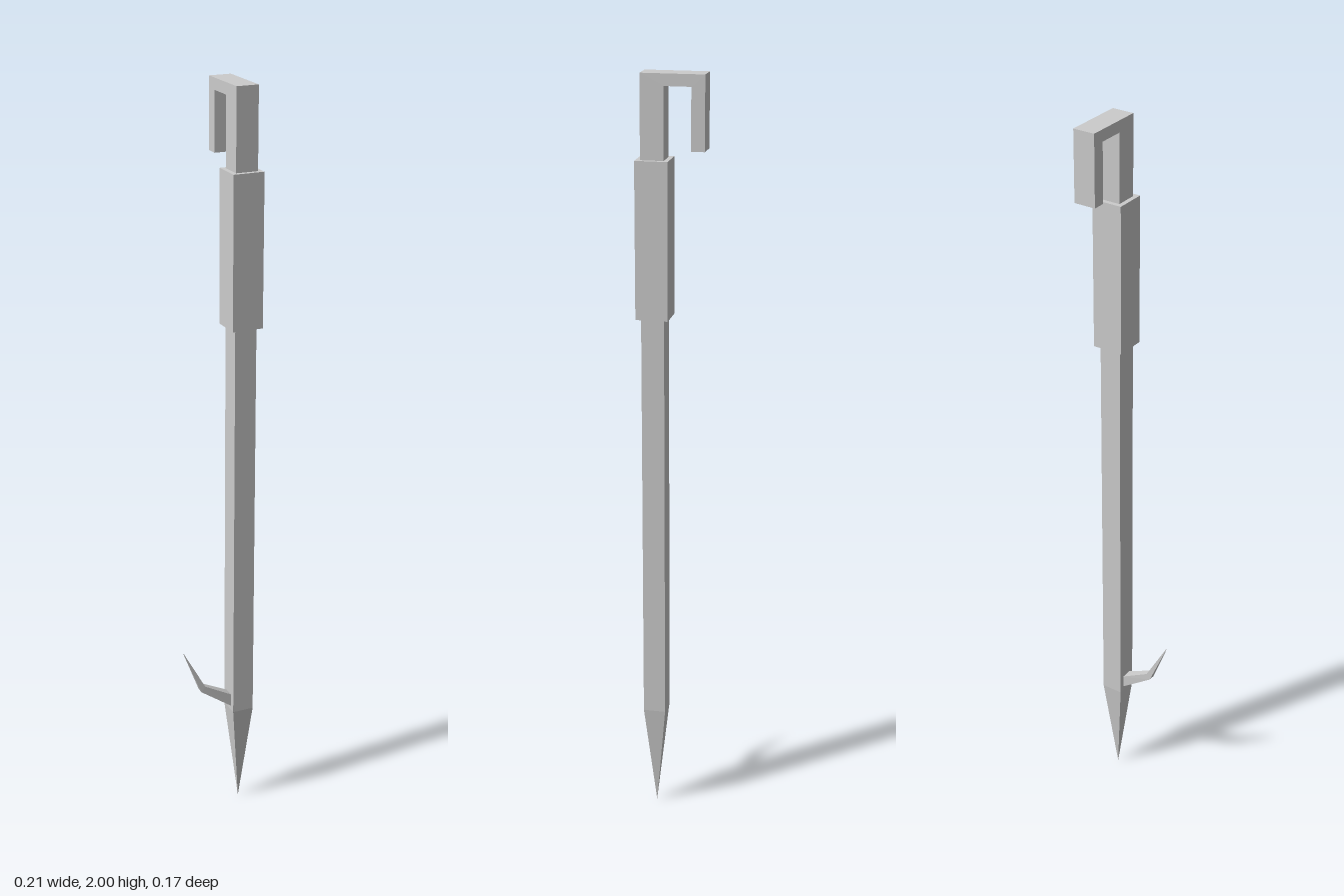
import * as THREE from 'three';

const CX = 0.0615, CZ = 0.0435, HALF = 0.0295; // shaft axis and half width

// Joins rectangular sections (four corners each) into a closed solid
function loft(sections) {
  const pos = [];
  const quad = (a, b, c, d) => [a, b, c, a, c, d].forEach(p => pos.push(...p));
  for (let i = 0; i < sections.length - 1; i++) {
    const s = sections[i], t = sections[i + 1];
    for (let k = 0; k < 4; k++) {
      const n = (k + 1) % 4;
      quad(s[k], s[n], t[n], t[k]);
    }
  }
  const e = sections[sections.length - 1];
  quad(...[...sections[0]].reverse());
  quad(...e);
  const g = new THREE.BufferGeometry();
  g.setAttribute('position', new THREE.Float32BufferAttribute(pos, 3));
  g.computeVertexNormals();
  return g;
}

export function createModel() {
  const group = new THREE.Group();
  const mat = new THREE.MeshStandardMaterial({ color: 0xcccccc, flatShading: true });
  const add = (name, geometry) => {
    const mesh = new THREE.Mesh(geometry, mat);
    mesh.name = name;
    group.add(mesh);
    return mesh;
  };

  // Square shaft bent over into a hook at the top, drawn in z and y
  const front = CZ + HALF, back = CZ - HALF;
  const outline = [
    [back, 0.29], [front, 0.29], [front, 2], [-0.088, 2],
    [-0.088, 1.815], [-0.054, 1.815], [-0.054, 1.97], [back, 1.97],
  ].map(([z, y]) => new THREE.Vector2(z, y));
  const shaft = new THREE.ExtrudeGeometry(new THREE.Shape(outline), { depth: 2 * HALF, bevelEnabled: false });
  shaft.rotateY(-Math.PI / 2).translate(CX + HALF, 0, 0);
  add('hookedShaft', shaft);

  // Four-sided point
  const point = new THREE.ConeGeometry(HALF * Math.SQRT2, 0.29, 4, 1, true);
  point.rotateY(Math.PI / 4).rotateX(Math.PI);
  add('point', point).position.set(CX, 0.145, CZ);

  // Grip sleeve
  add('gripSleeve', new THREE.BoxGeometry(0.083, 0.4, 0.083)).position.set(CX, 1.59, CZ);

  // Bent barb: upper and lower edge points with half width, root to tip
  const barb = [
    [0.04, 0.334, 0.04, 0.297, 0.0155],
    [-0.043, 0.377, -0.054, 0.362, 0.0095],
    [-0.102, 0.486, -0.103, 0.485, 0.0005],
  ].map(([ux, uy, lx, ly, w]) => [
    [ux, uy, CZ - w], [ux, uy, CZ + w], [lx, ly, CZ + w], [lx, ly, CZ - w],
  ]);
  // Corner order runs so that the faces point outward
  add('barb', loft(barb.map(s => s.reverse())));

  return group;
}
